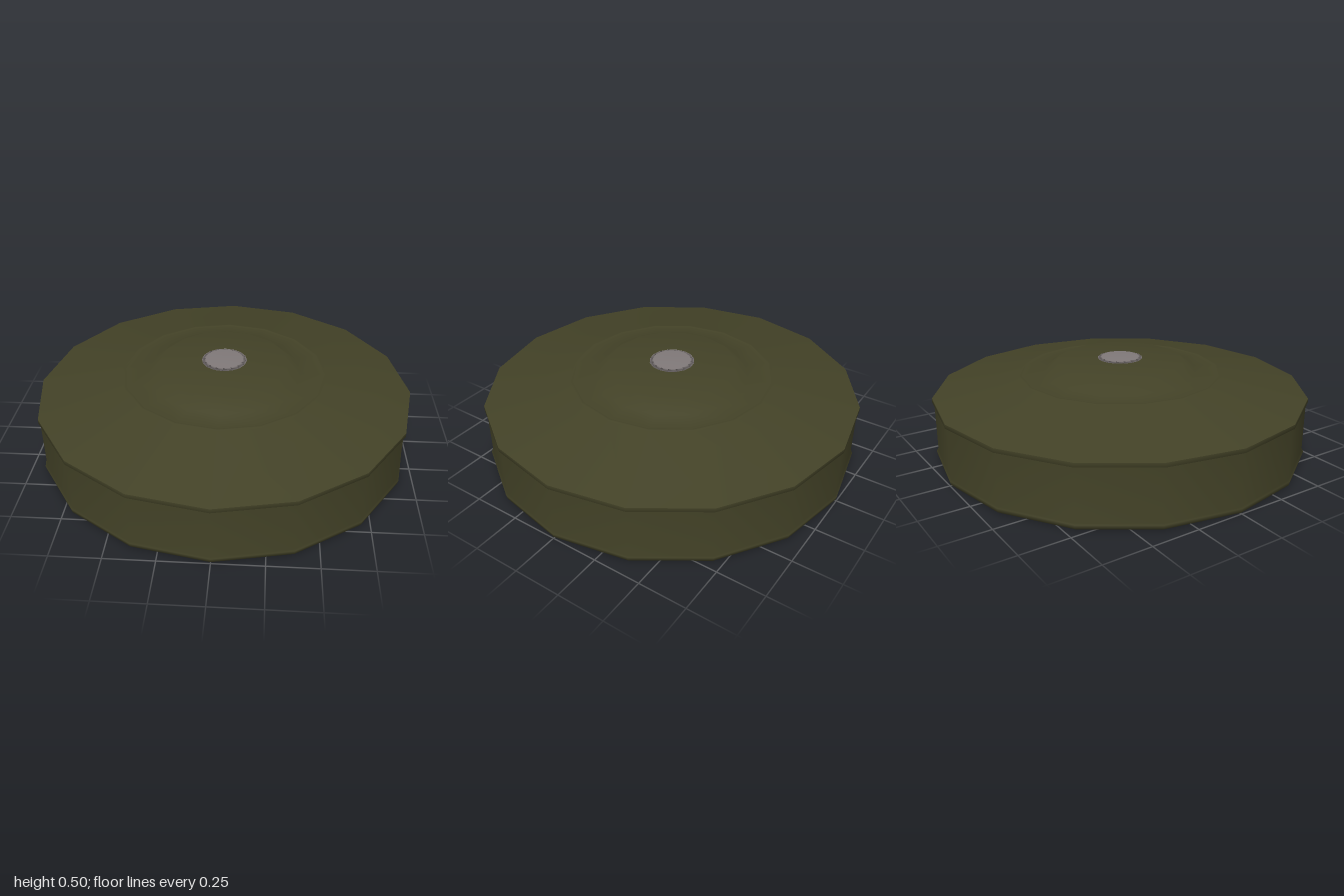
import * as THREE from 'three';

const SIDES = 16;

// Revolve a list of [radius, height] pairs, bottom centre to top centre
function turned(name, profile, material) {
  const points = profile.map(([r, y]) => new THREE.Vector2(r, y));
  const mesh = new THREE.Mesh(new THREE.LatheGeometry(points, SIDES), material);
  mesh.name = name;
  return mesh;
}

export function createModel() {
  const olive = new THREE.MeshStandardMaterial({ color: 0x434227 });
  olive.name = 'olive paint';
  const grey = new THREE.MeshStandardMaterial({ color: 0x807979 });
  grey.name = 'grey metal';

  const model = new THREE.Group();
  model.name = 'flatDisc';

  // Base plate, recessed side wall and upper flange
  model.add(turned('drumBody', [
    [0, 0], [0.97, 0], [0.995, 0.004], [1, 0.027], [0.99, 0.03],
    [0.99, 0.3], [1, 0.303], [1, 0.325],
  ], olive));

  // Sloping lid, seam ring, raised plateau and button neck
  model.add(turned('lid', [
    [1, 0.325], [0.555, 0.415], [0.547, 0.42], [0.535, 0.42], [0.53, 0.417],
    [0.41, 0.42], [0.34, 0.48], [0.085, 0.48], [0.085, 0.488],
  ], olive));

  // Thin button on top
  model.add(turned('button', [
    [0, 0.486], [0.085, 0.486], [0.12, 0.491], [0.1, 0.497], [0, 0.498],
  ], grey));

  return model;
}
